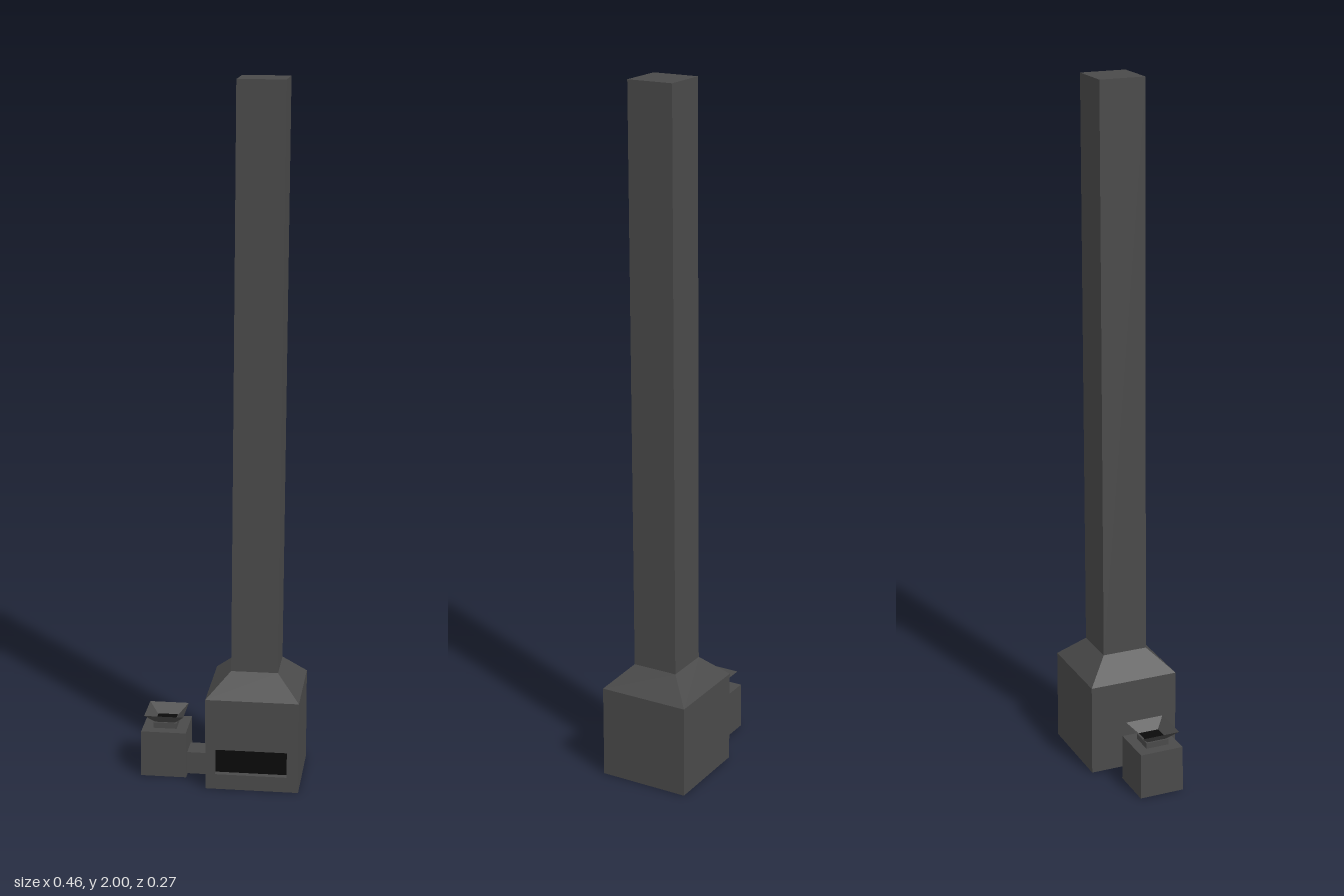
import * as THREE from 'three';

const dark = new THREE.MeshStandardMaterial({ color: 0x4a4a4a, flatShading: true, side: THREE.DoubleSide });
const black = new THREE.MeshStandardMaterial({ color: 0x0a0a0a, side: THREE.DoubleSide });

// Rectangular ring of corners: centre x, height, half width, half depth
const ring = (cx, y, hx, hz = hx) => [[1, 1], [1, -1], [-1, -1], [-1, 1]].map(([a, b]) => [cx + a * hx, y, b * hz]);

// Skin between stacked rings; side 3 is the front. Bottoms stay open.
function shell(rings, { cap = false, skipFront = false } = {}) {
  const p = [];
  const quad = (a, b, c, d) => p.push(...a, ...b, ...c, ...a, ...c, ...d);
  for (let r = 0; r < rings.length - 1; r++) {
    const lo = rings[r], hi = rings[r + 1];
    for (let i = 0; i < 4; i++) {
      if (skipFront && i === 3) continue;
      const j = (i + 1) % 4;
      quad(lo[i], lo[j], hi[j], hi[i]);
    }
  }
  if (cap) quad(...rings[rings.length - 1]);
  const g = new THREE.BufferGeometry();
  g.setAttribute('position', new THREE.Float32BufferAttribute(p, 3));
  g.computeVertexNormals();
  return g;
}

function rectPath(path, x0, y0, x1, y1) {
  path.moveTo(x0, y0).lineTo(x1, y0).lineTo(x1, y1).lineTo(x0, y1).closePath();
  return path;
}

export function createModel() {
  const model = new THREE.Group();
  const add = (name, geo, mat = dark) => {
    const m = new THREE.Mesh(geo, mat);
    m.name = name;
    model.add(m);
    return m;
  };
  const bx = 0.098, bh = 0.133; // furnace centre and half width

  // Furnace body, front wall with a recessed mouth
  add('furnaceBody', shell([ring(bx, 0, bh), ring(bx, 0.27, bh)], { skipFront: true }));
  const wall = rectPath(new THREE.Shape(), bx - bh, 0, bx + bh, 0.27);
  wall.holes.push(rectPath(new THREE.Path(), -0.008, 0.045, 0.198, 0.12));
  add('frontWall', new THREE.ExtrudeGeometry(wall, { depth: 0.018, bevelEnabled: false })).position.z = bh - 0.018;
  add('furnaceMouth', new THREE.PlaneGeometry(0.206, 0.075), black).position.set(0.095, 0.0825, bh - 0.018);

  // Sloped hood and slightly leaning chimney
  add('hood', shell([ring(bx, 0.27, bh), ring(bx, 0.335, 0.067)]));
  add('chimney', shell([ring(bx, 0.335, 0.067), ring(0.11, 2, 0.067)], { cap: true }));

  // Side duct
  add('duct', shell([ring(-0.068, 0, 0.034, 0.036), ring(-0.068, 0.066, 0.034, 0.036)], { cap: true }));

  // Feed box with neck and open hopper
  const fx = -0.166;
  add('feedBox', shell([ring(fx, 0, 0.066), ring(fx, 0.136, 0.065)], { cap: true }));
  add('hopperNeck', shell([ring(fx, 0.136, 0.034), ring(fx, 0.153, 0.034)], { cap: true }));
  add('hopper', shell([ring(fx, 0.153, 0.029), ring(fx, 0.181, 0.057)]));
  const hole = add('hopperHole', new THREE.PlaneGeometry(0.057, 0.06), black);
  hole.rotation.x = -Math.PI / 2;
  hole.position.set(fx, 0.155, 0);

  return model;
}
